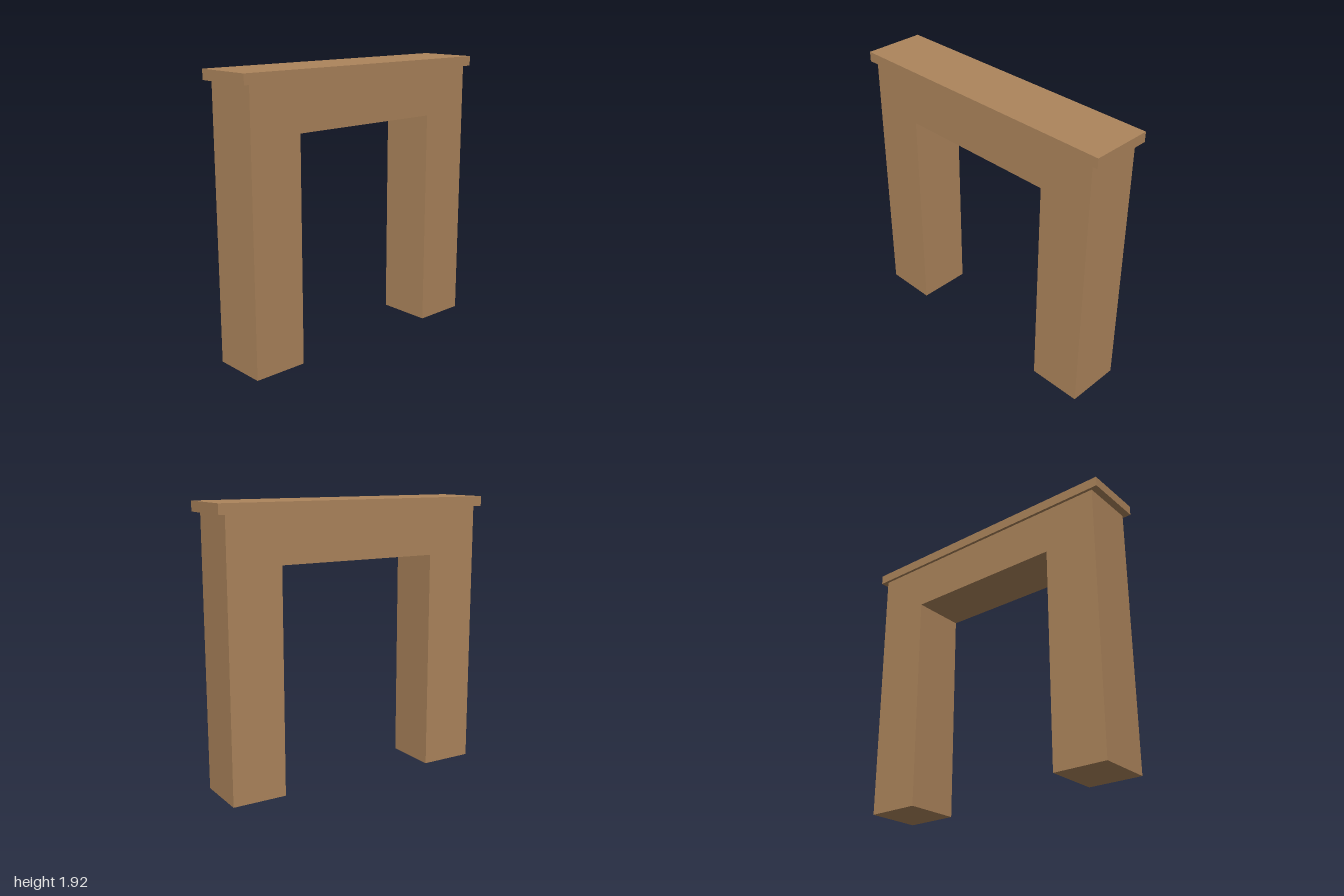
import * as THREE from 'three';

export function createModel() {
  const group = new THREE.Group();
  const wood = new THREE.MeshStandardMaterial({ color: 0xad855c });
  wood.name = 'warm wood';

  // Surround: two legs and a lintel in one continuous piece
  const outer = 0.95, inner = 0.575, height = 1.85, opening = 1.525, depth = 0.385;
  const outline = new THREE.Shape([
    [-outer, 0], [-inner, 0], [-inner, opening], [inner, opening],
    [inner, 0], [outer, 0], [outer, height], [-outer, height],
  ].map(([x, y]) => new THREE.Vector2(x, y)));
  const surroundGeometry = new THREE.ExtrudeGeometry(outline, { depth, bevelEnabled: false });
  surroundGeometry.translate(0, 0, -depth / 2);
  const surround = new THREE.Mesh(surroundGeometry, wood);
  surround.name = 'surround';
  group.add(surround);

  // Overhanging shelf on top
  const shelfHeight = 0.068;
  const shelf = new THREE.Mesh(new THREE.BoxGeometry(2, shelfHeight, 0.425), wood);
  shelf.name = 'mantelShelf';
  shelf.position.y = height + shelfHeight / 2;
  group.add(shelf);

  return group;
}
